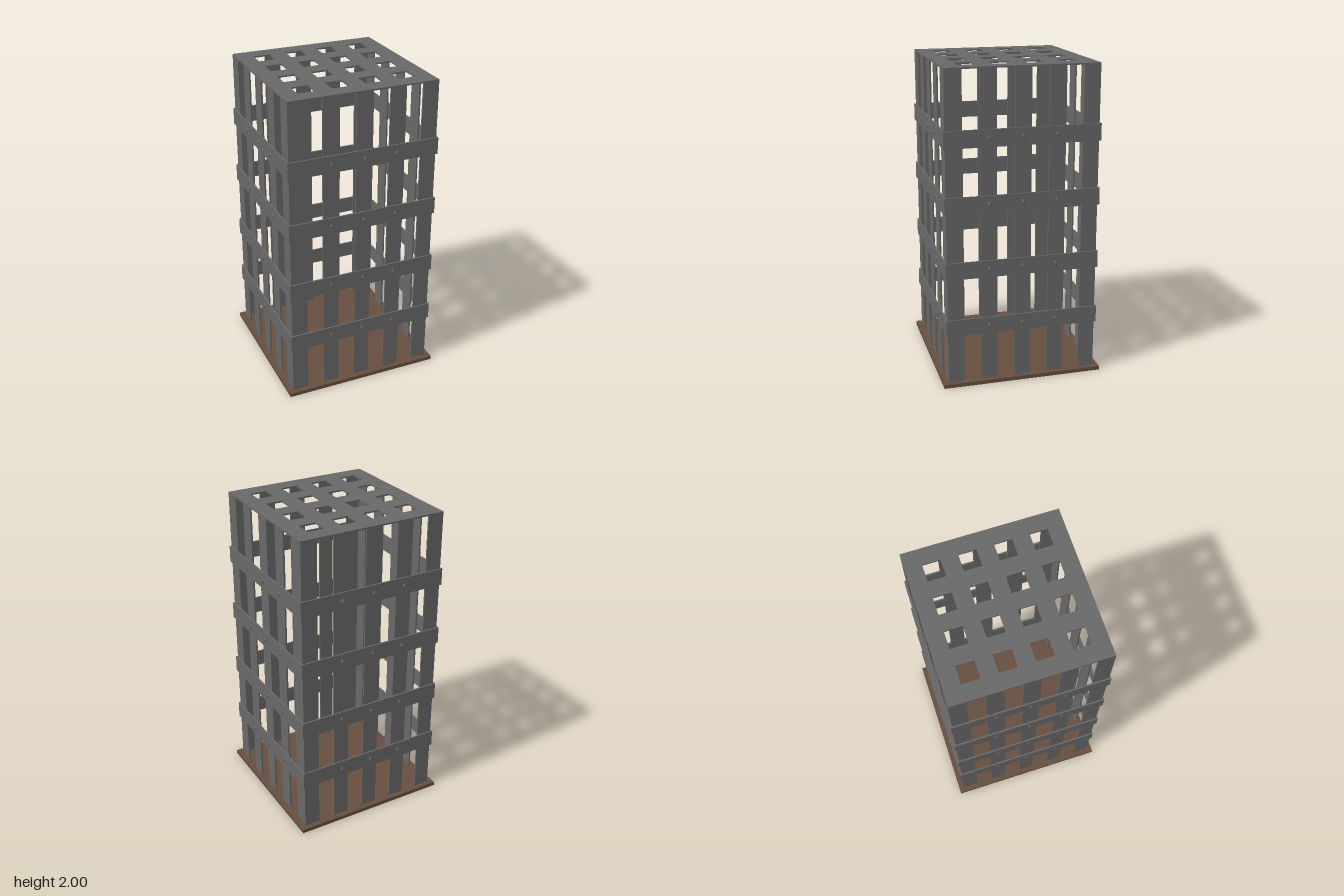
import * as THREE from 'three';

const iron = new THREE.MeshStandardMaterial({ color: 0x686868 });
iron.name = 'dark iron';
const wood = new THREE.MeshStandardMaterial({ color: 0x654e3e });
wood.name = 'brown wood';

const HALF = 0.48;      // outer half width of the bars
const THICK = 0.01;     // sheet thickness
const BASE = 0.025;     // base plate height
const TOP = 2;

function box(parent, name, size, pos, material = iron) {
  const mesh = new THREE.Mesh(new THREE.BoxGeometry(...size), material);
  mesh.name = name;
  mesh.position.set(...pos);
  parent.add(mesh);
  return mesh;
}

// Square roof sheet with a grid of square holes
function makeRoof() {
  const square = (path, x, y, h) => {
    path.moveTo(x - h, y - h);
    path.lineTo(x + h, y - h);
    path.lineTo(x + h, y + h);
    path.lineTo(x - h, y + h);
    path.closePath();
    return path;
  };
  const shape = square(new THREE.Shape(), 0, 0, HALF);
  const centres = [-0.321, -0.107, 0.107, 0.321];
  for (const x of centres) {
    for (const y of centres) shape.holes.push(square(new THREE.Path(), x, y, 0.055));
  }
  const geometry = new THREE.ExtrudeGeometry(shape, { depth: THICK, bevelEnabled: false });
  geometry.rotateX(-Math.PI / 2);
  const roof = new THREE.Mesh(geometry, iron);
  roof.name = 'roof';
  roof.position.y = TOP - THICK;
  return roof;
}

// One wall facing +z: upright bars, cross bands and pointed studs
function makeWall() {
  const wall = new THREE.Group();
  const barHeight = TOP - THICK - BASE;
  const barY = BASE + barHeight / 2;
  for (const x of [-0.43, -0.215, 0, 0.215, 0.43]) {
    box(wall, 'uprightBar', [0.104, barHeight, THICK],
      [Math.sign(x) * Math.min(Math.abs(x), HALF - 0.052), barY, HALF - THICK / 2]);
  }
  const studGeometry = new THREE.OctahedronGeometry(1).scale(0.015, 0.024, 0.011);
  for (const y of [0.389, 0.763, 1.175, 1.58]) {
    box(wall, 'crossBand', [0.98, 0.108, THICK], [0, y, HALF + THICK / 2]);
    for (const x of [-0.213, 0, 0.213]) {
      const stud = new THREE.Mesh(studGeometry, iron);
      stud.name = 'stud';
      stud.position.set(x, y, HALF + THICK);
      wall.add(stud);
    }
  }
  return wall;
}

export function createModel() {
  const model = new THREE.Group();
  model.name = 'cage';
  box(model, 'base', [1.03, BASE, 1.03], [0, BASE / 2, 0], wood);
  ['frontWall', 'leftWall', 'backWall', 'rightWall'].forEach((name, i) => {
    const wall = makeWall();
    wall.name = name;
    wall.rotation.y = i * Math.PI / 2;
    model.add(wall);
  });
  model.add(makeRoof());
  return model;
}
